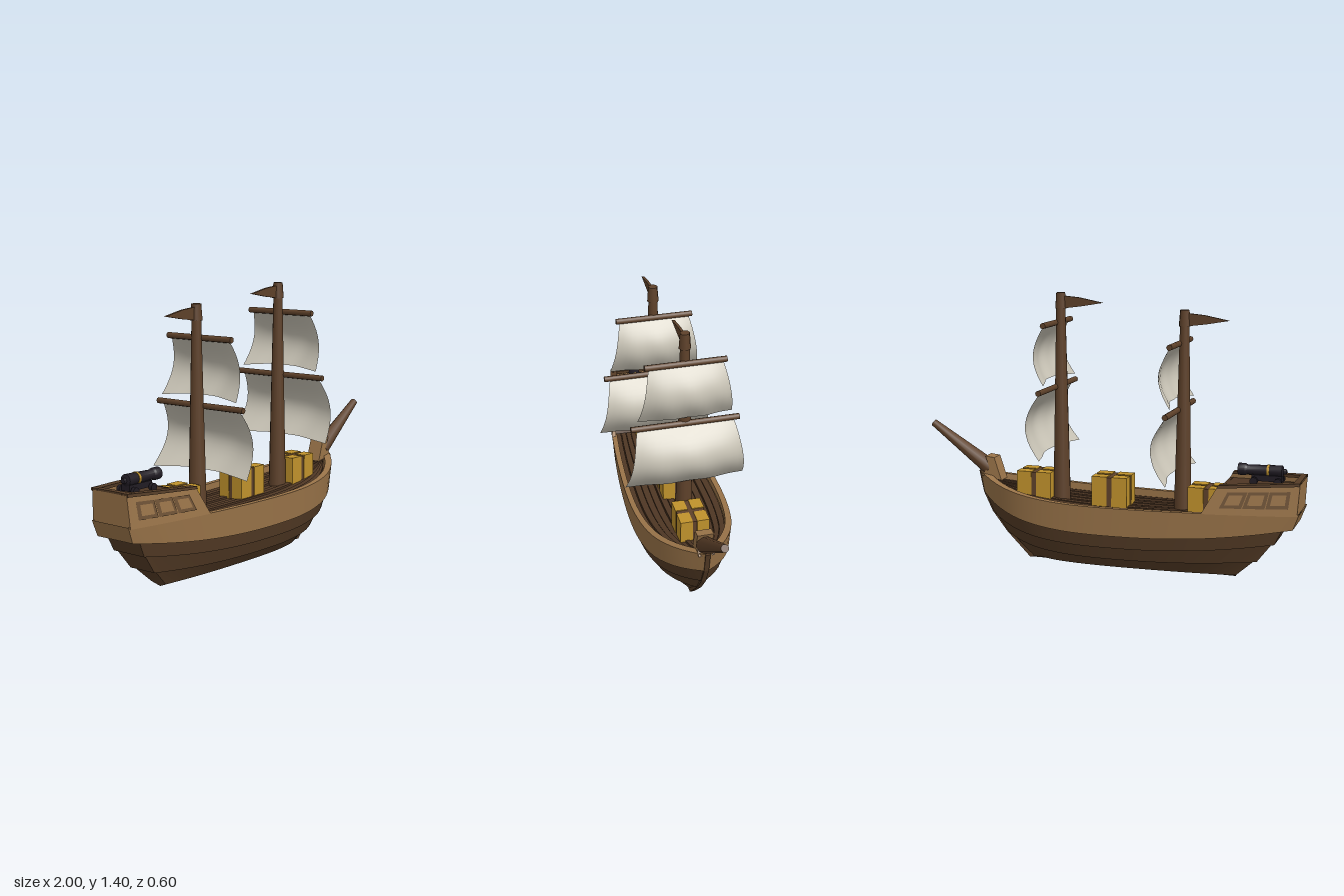
import * as THREE from 'three';
import { toCreasedNormals } from 'three/addons/utils/BufferGeometryUtils.js';

const mat = (name, color, side = THREE.FrontSide) => {
  const m = new THREE.MeshStandardMaterial({ color, side });
  m.name = name;
  return m;
};
const D = THREE.DoubleSide;
const M = {
  hull: mat('dark hull wood', 0x553c26, D),
  tan: mat('light trim wood', 0x9a7449, D),
  deck: mat('deck wood', 0x4f3724, D),
  spar: mat('mast wood', 0x5e412a),
  sail: mat('sail cloth', 0xc9c4b6, D),
  gold: mat('crate yellow', 0xc0922c),
  iron: mat('black iron', 0x211c24),
  pane: mat('window shade', 0x6f5235, D),
};

function add(parent, name, geometry, material, x = 0, y = 0, z = 0) {
  const mesh = new THREE.Mesh(geometry, material);
  mesh.name = name;
  mesh.position.set(x, y, z);
  parent.add(mesh);
  return mesh;
}

// surface through rows of [x, y, z] points
function loft(rows, crease = 0.5) {
  const p = [];
  for (let i = 0; i + 1 < rows.length; i++) {
    for (let j = 0; j + 1 < rows[i].length; j++) {
      const a = rows[i][j], b = rows[i][j + 1], c = rows[i + 1][j + 1], d = rows[i + 1][j];
      p.push(...a, ...b, ...c, ...a, ...c, ...d);
    }
  }
  const g = new THREE.BufferGeometry();
  g.setAttribute('position', new THREE.Float32BufferAttribute(p, 3));
  g.computeVertexNormals();
  return toCreasedNormals(g, crease);
}

const lerp = THREE.MathUtils.lerp;
const range = (n, f) => Array.from({ length: n + 1 }, (_, i) => f(i / n));

// half width of the deck plan along the ship
const PLAN = [[-1, 0.115], [-0.8, 0.16], [-0.55, 0.202], [-0.2, 0.235], [0.1, 0.245],
  [0.3, 0.23], [0.45, 0.195], [0.57, 0.135], [0.65, 0.075], [0.715, 0.012]];
function plan(x) {
  let i = 0;
  while (i < PLAN.length - 2 && x > PLAN[i + 1][0]) i++;
  const [x0, w0] = PLAN[i], [x1, w1] = PLAN[i + 1];
  const slope = (k) => {
    const a = PLAN[Math.max(k - 1, 0)], b = PLAN[Math.min(k + 1, PLAN.length - 1)];
    return (b[1] - a[1]) / (b[0] - a[0]);
  };
  const h = x1 - x0, t = (x - x0) / h, t2 = t * t, t3 = t2 * t;
  return (2 * t3 - 3 * t2 + 1) * w0 + (t3 - 2 * t2 + t) * h * slope(i)
    + (3 * t2 - 2 * t3) * w1 + (t3 - t2) * h * slope(i + 1);
}

// one hull line: mid height, stern rise, bow rise, stern x, bow x, width, inset
const line = (y, ys, yb, xs, xb, w, inset = 0) => (s) => {
  const u = s * 2 - 1;
  const z = Math.max(plan(-1 + 1.715 * s) / 0.245 * w - inset, 0.002);
  return [lerp(xs, xb, s), y + (u < 0 ? ys * u * u : yb * u ** 3), z];
};
const mirror = (p) => [p[0], p[1], -p[2]];
const RAIL = line(0.36, 0.01, 0.09, -1, 0.715, 0.245);
const DECK = line(0.322, 0.01, 0.09, -0.98, 0.69, 0.243, 0.026);
const BAND = [DECK, line(0.36, 0.01, 0.09, -0.985, 0.69, 0.245, 0.028), RAIL,
  line(0.215, 0.075, 0.12, -0.97, 0.695, 0.236)];
const STRAKES = [BAND[3],
  line(0.22, 0.07, 0.12, -0.92, 0.69, 0.222), line(0.145, 0.06, 0.09, -0.88, 0.645, 0.206),
  line(0.15, 0.06, 0.09, -0.87, 0.64, 0.192), line(0.075, 0.03, 0.055, -0.79, 0.565, 0.163),
  line(0.08, 0.03, 0.055, -0.78, 0.56, 0.15), line(0.018, 0, 0, -0.68, 0.435, 0.1),
  line(0, 0, 0, -0.67, 0.43, 0)];

function buildHull(ship) {
  const shell = (name, lines, capLines, material) => {
    const left = lines.map((f) => range(36, f));
    add(ship, name + 'Left', loft(left), material);
    add(ship, name + 'Right', loft(left.map((r) => r.map(mirror))), material);
    add(ship, name + 'Stern', loft(capLines.map((f) => [f(0), mirror(f(0))])), material);
  };
  shell('gunwale', BAND, BAND.slice(2), M.tan);
  shell('planking', STRAKES, STRAKES, M.hull);

  // deck of slightly uneven planks
  const planks = 12, edges = [];
  for (let k = 0; k < planks; k++) {
    const dy = ((k * 5) % 3) * 0.004;
    edges.push([k / planks, dy], [(k + 0.9) / planks, dy], [(k + 0.92) / planks, -0.006], [(k + 1) / planks, -0.006]);
  }
  add(ship, 'deck', loft(range(30, (s) => {
    const [x, y, z] = DECK(s);
    return edges.map(([f, dy]) => [x, y + dy, z * (1 - 2 * f)]);
  }), 0.3), M.deck);

  // stem post along the bow
  const stem = [[0.43, 0], [0.56, 0.13], [0.642, 0.235], [0.69, 0.335], [0.715, 0.45]];
  const shape = new THREE.Shape([...stem.map(([x, y]) => new THREE.Vector2(x + 0.008, y)),
    ...stem.slice().reverse().map(([x, y]) => new THREE.Vector2(x - 0.03, y + 0.005))]);
  add(ship, 'stemPost', new THREE.ExtrudeGeometry(shape, { depth: 0.024, bevelEnabled: false }), M.hull, 0, 0, -0.012);

  // knee that carries the bowsprit
  const knee = new THREE.Shape([[0.585, 0.41], [0.625, 0.53], [0.675, 0.535], [0.655, 0.48], [0.7, 0.43]]
    .map(([x, y]) => new THREE.Vector2(x, y)));
  add(ship, 'bowKnee', new THREE.ExtrudeGeometry(knee, { depth: 0.08, bevelEnabled: false }), M.tan, 0, 0, -0.04);
  const sprit = add(ship, 'bowsprit', new THREE.CylinderGeometry(0.019, 0.044, 0.4, 10), M.spar, 0.823, 0.577, 0);
  sprit.rotation.z = -Math.atan2(0.32, 0.22);
}

// point on the stern castle wall: u from stern to front, v upward
function castle(u, v, out = 0) {
  const x = lerp(lerp(-0.99, -1, v), lerp(-0.535, -0.61, v), u);
  return [x, lerp(0.36, lerp(0.515, 0.495, u), v), plan(x) * lerp(1.01, 0.93, v) + out];
}

function buildSternCastle(ship) {
  const g = new THREE.Group();
  g.name = 'sternCastle';
  ship.add(g);
  for (const side of [1, -1]) {
    const fix = (p) => (side > 0 ? p : mirror(p));
    const patch = (name, u0, u1, v0, v1, out, material) => add(g, name,
      loft(range(6, (a) => range(1, (b) => fix(castle(lerp(u0, u1, a), lerp(v0, v1, b), out)))), 0.3), material);
    const wall = [[0, 0], [1, 0], [1, -0.022], [0, -0.022]];
    add(g, 'castleWall', loft(range(8, (u) => wall.map(([v, o]) => fix(castle(u, v, o))))), M.tan);
    add(g, 'wallEnd', loft([[castle(1, 0), castle(1, 1)], [castle(1, 0, -0.022), castle(1, 1, -0.022)]].map((r) => r.map(fix))), M.tan);
    // top rail
    const rail = [[0.96, 0.008], [1.06, 0.008], [1.06, -0.03], [0.96, -0.03], [0.96, 0.008]];
    add(g, 'castleRail', loft(range(8, (u) => rail.map(([v, o]) => fix(castle(u, v, o))))), M.hull);
    // windows
    for (let k = 0; k < 3; k++) {
      const u = 0.12 + k * 0.25;
      patch('windowFrame', u - 0.02, u + 0.22, 0.24, 0.8, 0.005, M.pane);
      patch('windowPane', u + 0.02, u + 0.18, 0.36, 0.7, 0.009, M.tan);
    }
  }
  const across = (pts) => loft(pts.map((p) => [p, mirror(p)]));
  add(g, 'sternWall', across([castle(0, 0), castle(0, 1)]), M.tan);
  add(g, 'sternRail', new THREE.BoxGeometry(0.03, 0.018, 0.22), M.hull, -0.983, 0.515, 0);
  add(g, 'castleFloor', across(range(6, (u) => castle(u, 0.8, -0.01))), M.deck);
  add(g, 'castleBulkhead', across([castle(0.94, 0, -0.01), castle(0.96, 0.82, -0.01)]), M.deck);

  // cannon on its carriage
  const cannon = new THREE.Group();
  cannon.name = 'cannon';
  cannon.position.set(-0.8, 0.553, 0);
  g.add(cannon);
  const profile = [[0, -0.118], [0.012, -0.114], [0.014, -0.1], [0.03, -0.094], [0.028, -0.03], [0.024, 0.08],
    [0.03, 0.09], [0.03, 0.125], [0.016, 0.125], [0.014, 0.09], [0, 0.09]].map(([r, y]) => new THREE.Vector2(r, y));
  add(cannon, 'barrel', toCreasedNormals(new THREE.LatheGeometry(profile, 14), 0.6), M.iron).rotation.z = -Math.PI / 2;
  add(cannon, 'barrelRing', new THREE.CylinderGeometry(0.031, 0.031, 0.012, 14), M.gold, -0.025).rotation.z = Math.PI / 2;
  add(cannon, 'carriage', new THREE.BoxGeometry(0.15, 0.03, 0.05), M.iron, -0.02, -0.035, 0);
  for (const x of [-0.08, 0.04]) for (const z of [-0.045, 0.045]) {
    add(cannon, 'wheel', new THREE.CylinderGeometry(0.02, 0.02, 0.018, 10), M.iron, x, -0.047, z).rotation.x = Math.PI / 2;
  }
}

// square sail hung from a yard
function buildSail(parent, name, x, top, bottom, wTop, wBottom, bulge) {
  const rows = range(14, (v) => range(16, (t) => {
    const u = t * 2 - 1, mid = 1 - u * u;
    const wave = 0.004 * Math.sin(u * 9 + v * 5) * v;
    return [x + bulge * Math.sin(Math.PI * v) * (0.8 + 0.2 * mid) + v * (0.045 * mid - 0.02) + wave,
      lerp(top, bottom, v) + 0.015 * mid * v, u * lerp(wTop, wBottom, Math.pow(v, 0.8))];
  }));
  add(parent, name, loft(rows, 1), M.sail);
}

function buildMast(ship, name, x, top, upper, lower) {
  const g = new THREE.Group();
  g.name = name;
  ship.add(g);
  const h = top - 0.31;
  add(g, 'mastPole', new THREE.CylinderGeometry(0.022, 0.046, h, 12), M.spar, x, 0.31 + h / 2, 0);
  add(g, 'mastCap', new THREE.CylinderGeometry(0.024, 0.03, 0.08, 8), M.spar, x, top - 0.04, 0);
  const flag = new THREE.Shape([[0, 0.03], [-0.09, 0.022], [-0.215, -0.002], [-0.1, -0.022], [0, -0.035]]
    .map(([a, b]) => new THREE.Vector2(a, b)));
  add(g, 'pennant', new THREE.ExtrudeGeometry(flag, { depth: 0.014, bevelEnabled: false }), M.spar, x - 0.01, top - 0.045, -0.007);
  const yard = (y, half) => {
    add(g, 'yard', new THREE.CylinderGeometry(0.015, 0.015, half * 2, 8), M.spar, x + 0.022, y, 0).rotation.x = Math.PI / 2;
  };
  yard(upper, 0.2);
  yard(lower, 0.27);
  buildSail(g, 'upperSail', x + 0.026, upper - 0.005, upper - 0.295, 0.18, 0.235, 0.068);
  buildSail(g, 'lowerSail', x + 0.026, lower - 0.005, lower - 0.335, 0.24, 0.3, 0.095);
}

// crate: four blocks bound by a dark cross strap
function buildCrate(ship, x, z, top) {
  const g = new THREE.Group();
  g.name = 'crate';
  g.position.set(x, top, z);
  ship.add(g);
  const h = top - 0.315;
  add(g, 'strap', new THREE.BoxGeometry(0.178, h, 0.138), M.spar, 0, -h / 2 - 0.004, 0);
  for (const sx of [-1, 1]) for (const sz of [-1, 1]) {
    add(g, 'crateBlock', new THREE.BoxGeometry(0.08, h, 0.062), M.gold, sx * 0.053, -h / 2, sz * 0.042);
  }
}

export function createModel() {
  const ship = new THREE.Group();
  ship.name = 'sailingShip';
  buildHull(ship);
  buildSternCastle(ship);
  buildMast(ship, 'foreMast', 0.26, 1.4, 1.248, 0.92);
  buildMast(ship, 'aftMast', -0.39, 1.33, 1.165, 0.835);
  buildCrate(ship, -0.53, -0.013, 0.46);
  buildCrate(ship, -0.025, -0.013, 0.48);
  buildCrate(ship, 0.39, 0, 0.477);
  return ship;
}
